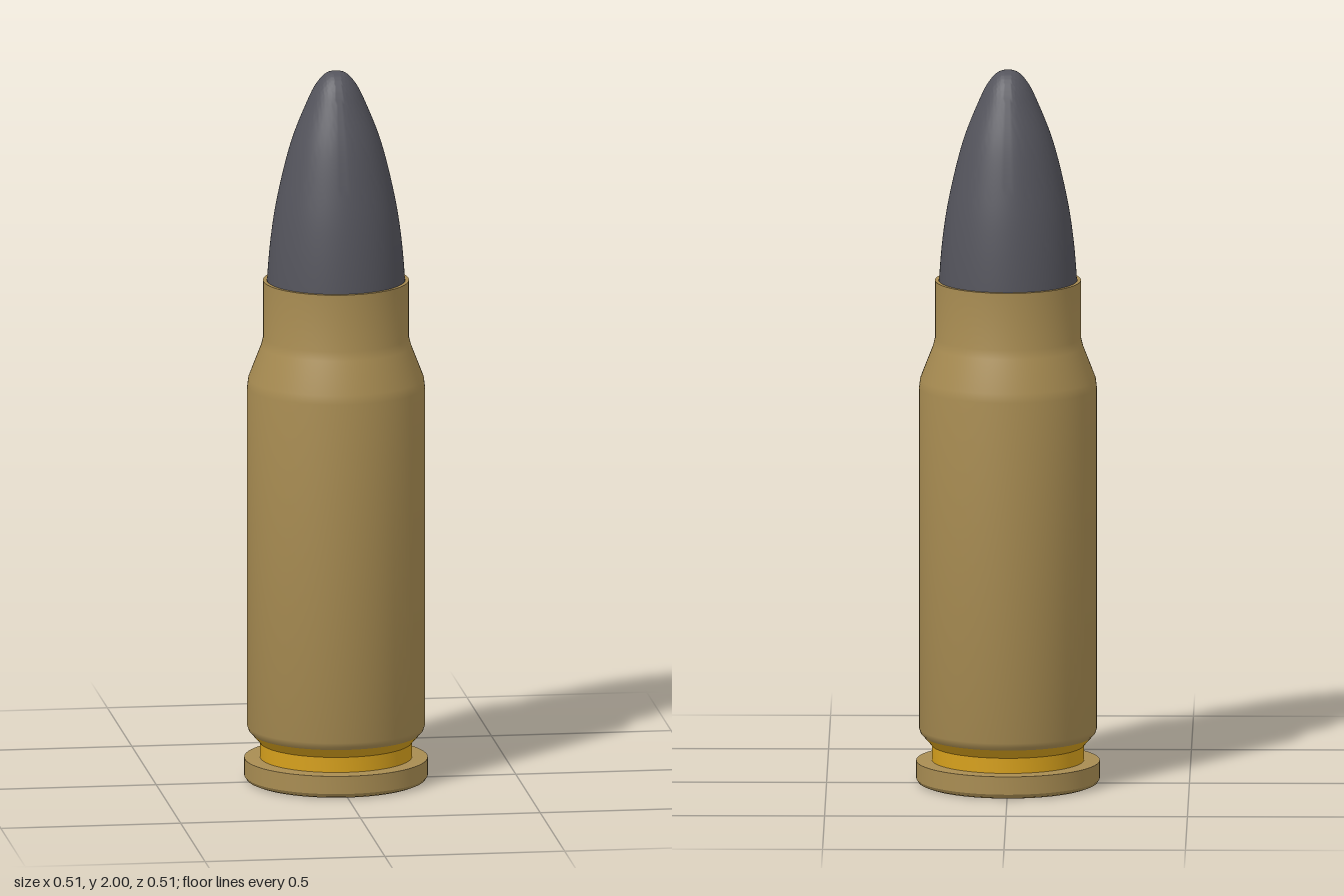
import * as THREE from 'three';
import { toCreasedNormals } from 'three/addons/utils/BufferGeometryUtils.js';

const SEGMENTS = 96;

function material(name, color) {
  const m = new THREE.MeshStandardMaterial({ color });
  m.name = name;
  return m;
}

// Revolve a profile of [radius, height] points, listed from bottom to top
function turned(name, profile, mat, crease = 0.3) {
  const points = profile.map(([r, y]) => new THREE.Vector2(r, y));
  const geometry = toCreasedNormals(new THREE.LatheGeometry(points, SEGMENTS), crease);
  const mesh = new THREE.Mesh(geometry, mat);
  mesh.name = name;
  return mesh;
}

export function createModel() {
  const brass = material('brass', 0xa88c52);
  const gold = material('gold', 0xd6a01c);
  const lead = material('dark grey', 0x54545c);
  const group = new THREE.Group();
  group.name = 'cartridge';

  // Extractor rim with a ring cut around the primer
  group.add(turned('rim', [
    [0.085, 0.03], [0.105, 0.008], [0.235, 0.0], [0.247, 0.005], [0.253, 0.014],
    [0.253, 0.064], [0.2, 0.066],
  ], brass));

  // Primer in the middle of the base
  group.add(turned('primer', [
    [0, 0.008], [0.078, 0.008], [0.085, 0.014], [0.085, 0.035],
  ], brass));

  // Groove above the rim, flaring out to the case
  group.add(turned('extractorGroove', [
    [0.21, 0.062], [0.21, 0.108], [0.233, 0.134],
  ], gold));

  // Case wall: lower bevel, body, shoulder, neck and open mouth
  group.add(turned('case', [
    [0.233, 0.134], [0.241, 0.143], [0.245, 0.155], [0.245, 1.11], [0.242, 1.135],
    [0.207, 1.225], [0.201, 1.25], [0.201, 1.41], [0.191, 1.41], [0.191, 1.34],
  ], brass, 0.6));

  // Rounded, tapering bullet seated in the neck
  const ogive = new THREE.SplineCurve([
    [0.19, 1.34], [0.19, 1.41], [0.18, 1.53], [0.161, 1.65], [0.124, 1.8],
    [0.077, 1.92], [0.052, 1.967], [0.027, 1.993], [0, 2],
  ].map(([r, y]) => new THREE.Vector2(r, y)));
  const profile = ogive.getPoints(48).map((p) => [Math.max(0, p.x), p.y]);
  group.add(turned('bullet', profile, lead, 1));

  return group;
}
